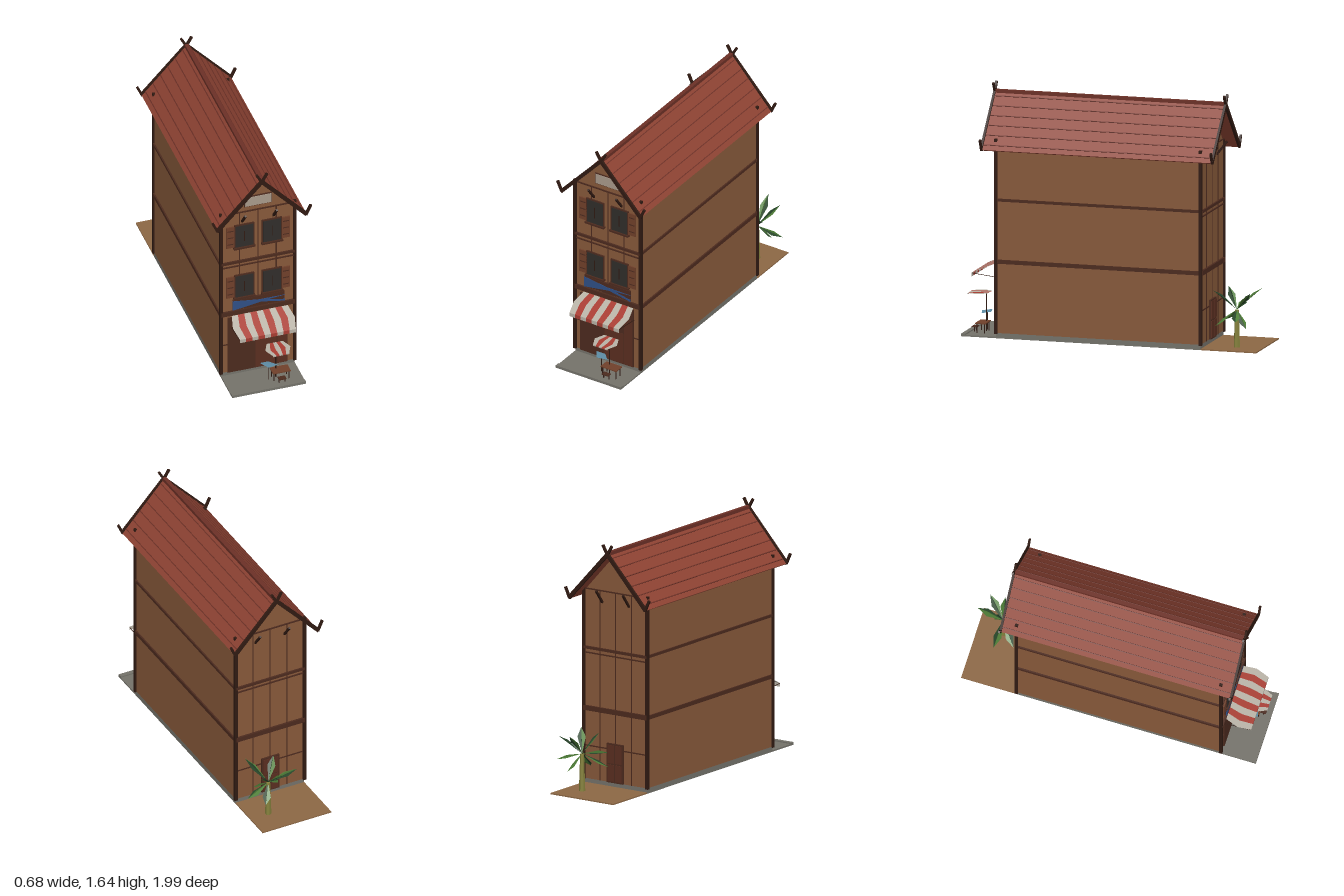
import * as THREE from 'three';

const C = {
  wall: 0x87593a, frame: 0x4c2a1e, post: 0x301a12, shutter: 0x70402a, glass: 0x302d2a, roof: 0x8e4333,
  seam: 0x6c3026, stone: 0x74726a, earth: 0x8c6744, red: 0xa83c32, white: 0xb8b2a6, blue: 0x2f4f86,
  plaque: 0xa8998a, leaf: 0x4f7f38, darkLeaf: 0x28472a, trunk: 0x85813c, cloth: 0x5d8ba3, door: 0x5a2e20,
};
const mats = {};
function mat(key) {
  return (mats[key] ??= new THREE.MeshStandardMaterial({ color: C[key], side: THREE.DoubleSide, flatShading: true }));
}

export function createModel() {
  const root = new THREE.Group();
  const add = (name, geo, key, parent = root) => {
    const m = new THREE.Mesh(geo, mat(key));
    m.name = name;
    parent.add(m);
    return m;
  };
  // Box from its minimum and maximum corners
  const box = (name, key, x0, x1, y0, y1, z0, z1, parent) => {
    const m = add(name, new THREE.BoxGeometry(x1 - x0, y1 - y0, z1 - z0), key, parent);
    m.position.set((x0 + x1) / 2, (y0 + y1) / 2, (z0 + z1) / 2);
    return m;
  };
  // Square timber between two points
  const timber = (name, key, a, b, w, d = w, parent = root) => {
    const p = new THREE.Vector3(...a), q = new THREE.Vector3(...b), dir = q.clone().sub(p);
    const m = add(name, new THREE.BoxGeometry(w, dir.length(), d), key, parent);
    m.position.copy(p).add(q).multiplyScalar(0.5);
    m.quaternion.setFromUnitVectors(new THREE.Vector3(0, 1, 0), dir.normalize());
    return m;
  };
  // Profile in x and y, extruded from z0 to z1
  const prism = (name, key, pts, z0, z1, parent) => {
    const s = new THREE.Shape(pts.map(p => new THREE.Vector2(...p)));
    const g = new THREE.ExtrudeGeometry(s, { depth: z1 - z0, bevelEnabled: false });
    return add(name, g.translate(0, 0, z0), key, parent);
  };
  // Thin polygon drawn as a fan of triangles
  const sheet = (name, key, pts, parent) => {
    const v = [];
    for (let i = 1; i < pts.length - 1; i++) v.push(...pts[0], ...pts[i], ...pts[i + 1]);
    const g = new THREE.BufferGeometry();
    g.setAttribute('position', new THREE.Float32BufferAttribute(v, 3));
    g.computeVertexNormals();
    return add(name, g, key, parent);
  };

  const F = 0.765, B = -0.615; // front and back wall planes

  // Ground and foundation
  box('pavement', 'stone', -0.25, 0.25, 0, 0.01, F, 0.97);
  box('kerb', 'stone', -0.25, 0.25, 0, 0.018, 0.97, 1);
  box('backYard', 'earth', -0.25, 0.25, 0, 0.008, -0.99, B);
  box('foundation', 'stone', -0.25, 0.25, 0, 0.035, B, F);

  // Walls with gables
  prism('walls', 'wall', [[-0.25, 0.035], [0.25, 0.035], [0.25, 1.28], [0, 1.555], [-0.25, 1.28]], B, F);

  // Timber frame
  for (const s of [-1, 1]) {
    for (const z of [F, B]) timber('cornerPost', 'post', [s * 0.25, 0.03, z], [s * 0.25, 1.31, z], 0.021);
    for (const [y, h] of [[0.505, 0.026], [0.91, 0.018]])
      box('sideBeam', 'frame', s * 0.255 - 0.005, s * 0.255 + 0.005, y - h / 2, y + h / 2, B, F);
  }
  for (const [z, s] of [[F, 1], [B, -1]]) {
    const strip = (name, x, y, w, h, d) => {
      const m = add(name, new THREE.BoxGeometry(w, h, d * 2), 'frame');
      m.position.set(x, y, z);
    };
    strip('floorBeam', 0, 0.505, 0.5, 0.032, 0.014);
    strip('floorBeam', 0, 0.907, 0.5, 0.018, 0.012);
    strip('thinRail', 0, 0.873, 0.5, 0.008, 0.008);
    strip('thinRail', 0, 1.298, 0.47, 0.008, 0.008);
    strip('thinRail', 0, 0.255, 0.5, 0.008, 0.004);
    for (const x of [-0.125, 0, 0.125])
      s > 0 ? strip('stud', x, 0.9, 0.006, 0.8, 0.004) : strip('stud', x, 0.667, 0.006, 1.264, 0.004);
    for (const x of [-0.106, 0.106])
      timber('roofBracket', 'post', [x, 1.22, z], [x, 1.31, z + s * 0.07], 0.013);
  }

  // Roof, seams and ridge
  prism('roof', 'roof', [[0, 1.578], [-0.305, 1.243], [-0.298, 1.237], [0, 1.558], [0.298, 1.237], [0.305, 1.243]], -0.705, 0.845);
  box('ridgeCap', 'seam', -0.013, 0.013, 1.565, 1.587, -0.705, 0.845);
  for (const s of [-1, 1]) {
    for (let i = 0; i < 6; i++) {
      const t = 0.09 + i * 0.165, x = s * 0.305 * t, y = 1.577 - 0.335 * t;
      const seam = timber('roofSeam', 'seam', [x, y, -0.7], [x, y, 0.84], 0.008, 0.006);
      seam.rotateY(s * 0.83);
    }
    // Bargeboards with horns at the ridge and the eaves
    for (const z of [0.848, -0.708]) {
      timber('bargeboard', 'post', [0, 1.572, z], [s * 0.305, 1.242, z], 0.025, 0.015);
      timber('ridgeHorn', 'post', [-s * 0.008, 1.555, z], [s * 0.036, 1.632, z], 0.016, 0.014);
      timber('eaveHorn', 'post', [s * 0.3, 1.24, z], [s * 0.333, 1.312, z], 0.016, 0.014);
    }
  }

  // Windows with slatted shutters
  for (const y of [0.62, 1.02]) for (const s of [-1, 1]) {
    const w = new THREE.Group();
    w.name = 'window';
    w.position.set(s * 0.094, y, F);
    root.add(w);
    box('windowFrame', 'frame', -0.068, 0.068, 0, 0.182, 0, 0.01, w);
    box('pane', 'glass', -0.06, 0.06, 0.008, 0.174, 0, 0.013, w);
    box('sill', 'frame', -0.073, 0.073, -0.006, 0.006, 0, 0.022, w);
    box('mullion', 'post', -0.003, 0.001, 0.05, 0.13, 0.01, 0.015, w);
    const cx = s * 0.094;
    box('shutter', 'shutter', cx - 0.028, cx + 0.028, 0.01, 0.174, 0, 0.01, w);
    for (const h of [0.04, 0.092, 0.144])
      box('slat', 'frame', cx - 0.02, cx + 0.02, h - 0.003, h + 0.003, 0.005, 0.013, w);
  }

  // Blank gable plaque
  box('plaqueFrame', 'frame', -0.094, 0.094, 1.336, 1.414, F, F + 0.009);
  box('plaque', 'plaque', -0.089, 0.089, 1.341, 1.409, F, F + 0.013);

  // Painted shop board with a bow-shaped blue field
  box('shopBoard', 'frame', -0.172, 0.178, 0.532, 0.606, F, F + 0.014);
  prism('blueField', 'blue', [[-0.174, 0.604], [-0.174, 0.53], [0.02, 0.56], [0.18, 0.53], [0.18, 0.543],
    [0.06, 0.567], [0.18, 0.578], [0, 0.58]], F + 0.01, F + 0.017);

  // Shop front
  box('shopOpening', 'frame', -0.207, 0.2, 0.035, 0.47, F, F + 0.01);
  box('shopDoor', 'door', 0.13, 0.195, 0.04, 0.385, F, F + 0.014);
  box('shopDoor', 'door', -0.02, 0.125, 0.04, 0.265, F, F + 0.012);

  // Striped canopy whose ends come to a point halfway out
  function canopy(name, cx, half, mid, top, front, drop, n) {
    const g = new THREE.Group();
    g.name = name;
    root.add(g);
    const centre = top.map((v, i) => (v + front[i]) / 2);
    for (let i = 0; i < n; i++) {
      const key = i % 2 ? 'red' : 'white';
      const a = -1 + (2 * i) / n, b = a + 2 / n;
      const at = (t, r, p) => [cx + t * r, p[0], p[1]];
      sheet('stripe', key, [at(a, half, top), at(a, mid, centre), at(b, mid, centre), at(b, half, top)], g);
      sheet('stripe', key, [at(a, mid, centre), at(a, half, front), at(b, half, front), at(b, mid, centre)], g);
      const low = [front[0] - drop, front[1]];
      sheet('valance', key, [at(a, half, front), at(a, half, low), at(b, half, low), at(b, half, front)], g);
    }
  }
  canopy('awning', 0.01, 0.19, 0.21, [0.485, F + 0.01], [0.412, 0.945], 0.026, 9);
  canopy('stallCanopy', 0.085, 0.055, 0.085, [0.268, 0.855], [0.264, 0.99], 0.008, 5);
  for (const x of [-0.18, 0.2])
    timber('awningArm', 'post', [x, 0.39, F], [x, 0.41, 0.943], 0.003);

  // Small street stall, table and stool
  timber('stallPole', 'post', [0.085, 0.01, 0.88], [0.085, 0.265, 0.88], 0.006);
  box('counter', 'shutter', 0.05, 0.17, 0.07, 0.077, 0.86, 0.93);
  for (const x of [0.06, 0.16]) for (const z of [0.87, 0.92])
    timber('counterLeg', 'post', [x, 0.01, z], [x, 0.072, z], 0.005);
  sheet('blueCloth', 'cloth', [[-0.02, 0.137, 0.87], [0.04, 0.13, 0.86], [0.09, 0.127, 0.91], [0.02, 0.132, 0.93]]);
  timber('clothPole', 'post', [0.03, 0.01, 0.89], [0.03, 0.132, 0.89], 0.004);
  box('stool', 'frame', 0.08, 0.13, 0.04, 0.046, 0.93, 0.965);
  for (const x of [0.085, 0.125])
    timber('stoolLeg', 'post', [x, 0.01, 0.947], [x, 0.042, 0.947], 0.005);

  // Back door
  box('backDoorFrame', 'frame', -0.065, 0.065, 0.035, 0.295, B - 0.012, B);
  for (const s of [-1, 1])
    for (const [y0, y1] of [[0.045, 0.155], [0.165, 0.285]])
      box('backDoorPanel', 'door', s * 0.03 - 0.026, s * 0.03 + 0.026, y0, y1, B - 0.016, B);

  // Palm with folded leaves
  const palm = new THREE.Group();
  palm.name = 'palm';
  palm.position.set(0.12, 0, -0.82);
  root.add(palm);
  const trunk = add('trunk', new THREE.CylinderGeometry(0.013, 0.021, 0.25, 6), 'trunk', palm);
  trunk.position.y = 0.128;
  const tips = [[-0.21, 0.03, 0.0], [-0.13, -0.1, 0.11], [-0.02, 0.14, -0.165], [0.1, 0.12, -0.12],
    [0.17, -0.06, -0.04], [0.1, 0.13, 0.13], [0.03, -0.12, 0.14], [-0.08, 0.13, 0.08], [0.06, -0.12, -0.08]];
  tips.forEach(([x, y, z], i) => {
    const l = Math.hypot(x, z), k = 0.027 / l;
    const base = [0, 0.255, 0], tip = [x, 0.262 + y, z];
    const ridge = [x * 0.62, 0.275 + y * 0.66, z * 0.62];
    for (const s of [-1, 1]) {
      const edge = [ridge[0] - s * z * k, ridge[1] - 0.018, ridge[2] + s * x * k];
      sheet('leaf', (i + (s > 0 ? 1 : 0)) % 2 ? 'darkLeaf' : 'leaf', [base, edge, tip, ridge], palm);
    }
  });

  root.position.z = -0.005;
  return root;
}
